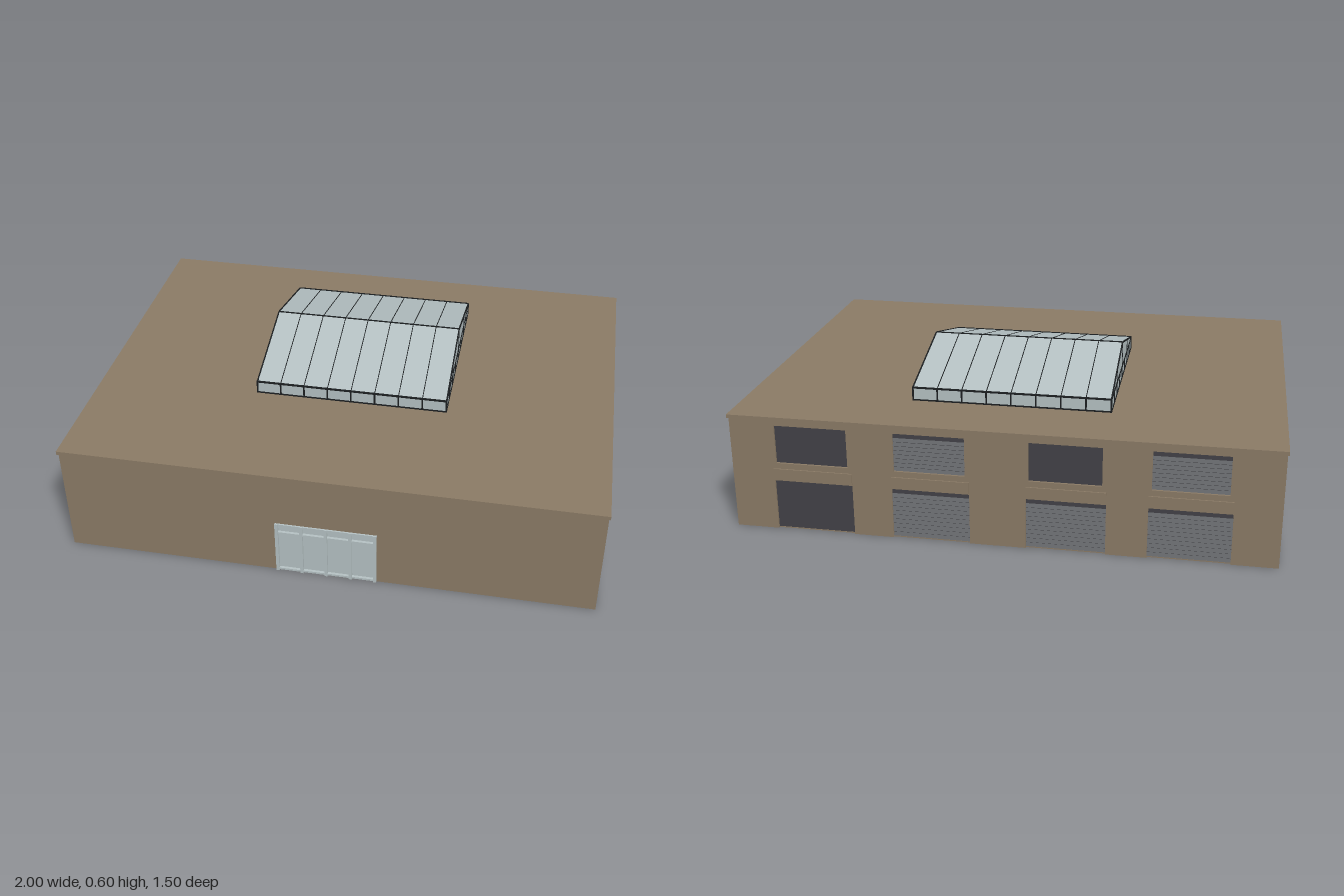
import * as THREE from 'three';

const flat = (name, color) => {
  const m = new THREE.MeshStandardMaterial({ color });
  m.name = name;
  return m;
};

export function createModel() {
  const brown = flat('brown cladding', 0x8a7a65);
  const glass = flat('pale glass', 0xb4c0c2);
  const dark = flat('dark glazing', 0x424147);
  const slatGrey = flat('shutter grey', 0x67696c);
  const black = flat('black frame', 0x1b1e20);

  const root = new THREE.Group();
  root.name = 'hall';

  // Box given by its limits on each axis
  const box = (parent, name, mat, x0, x1, y0, y1, z0, z1) => {
    const m = new THREE.Mesh(new THREE.BoxGeometry(x1 - x0, y1 - y0, z1 - z0), mat);
    m.position.set((x0 + x1) / 2, (y0 + y1) / 2, (z0 + z1) / 2);
    m.name = name;
    parent.add(m);
    return m;
  };

  const STOREY = 0.235, EAVES = 0.433, ROOF = 0.447;

  // Recessed opening: dark pane, optionally with a row of sloping slats
  function opening(parent, u0, u1, y0, y1, d, louvred) {
    box(parent, 'windowPane', dark, u0, u1, y0, y1, d - 0.025, d - 0.008);
    if (!louvred) return;
    const top = y1 - 0.018, n = Math.round((top - y0) / 0.0165), step = (top - y0) / n;
    for (let i = 0; i < n; i++) {
      const y = y0 + (i + 0.5) * step;
      const s = box(parent, 'shutterSlat', slatGrey, u0, u1, y - step * 0.42, y + step * 0.42, d - 0.009, d - 0.005);
      s.rotation.x = -0.35;
    }
  }

  // One wall: x runs along it, z points outward, d is its distance from the centre
  function wall(name, turn, d, half, bays) {
    const g = new THREE.Group();
    g.name = name;
    g.rotation.y = turn;
    root.add(g);
    const panel = (n, u0, u1, y0, y1) => box(g, n, brown, u0, u1, y0, y1, d - 0.03, d);
    let u = -half;
    for (const [u0, u1, lower, upper] of [...bays, [half, half]]) {
      panel('lowerPier', u, u0, 0, STOREY);
      panel('upperPier', u, u0, STOREY, EAVES);
      u = u1;
      if (u0 === u1) continue;
      // Lower opening with its slightly raised lintel, then the upper opening
      opening(g, u0, u1, 0.004, 0.195, d, lower);
      panel('lintel', u0, u1, 0.195, 0.265);
      box(g, 'lintelBand', brown, u0, u1, 0.2, 0.243, d, d + 0.005);
      const a = u0 + 0.01, b = u1 - 0.015;
      panel('upperJamb', u0, a, 0.265, 0.412);
      panel('upperJamb', b, u1, 0.265, 0.412);
      opening(g, a, b, 0.265, 0.412, d, upper);
      panel('windowHead', u0, u1, 0.412, EAVES);
    }
    return g;
  }

  wall('rightSideWall', Math.PI / 2, 0.995, 0.711, [[-0.395, -0.1, true, false], [0.22, 0.515, true, true]]);
  wall('leftSideWall', -Math.PI / 2, 0.995, 0.711, [[-0.515, -0.22, true, true], [0.1, 0.395, true, false]]);
  wall('backWall', Math.PI, 0.742, 0.995, [
    [-0.836, -0.541, false, false], [-0.393, -0.107, true, true],
    [0.098, 0.385, true, false], [0.533, 0.828, true, true]]);

  // Front wall with the entrance
  for (const s of [-1, 1]) {
    box(root, 'frontLowerWall', brown, Math.min(s * 0.19, s * 0.995), Math.max(s * 0.19, s * 0.995), 0, STOREY, 0.712, 0.742);
  }
  box(root, 'frontUpperWall', brown, -0.995, 0.995, STOREY, EAVES, 0.712, 0.742);
  box(root, 'entranceHead', brown, -0.19, 0.19, 0.225, STOREY, 0.712, 0.742);
  box(root, 'entranceGlass', glass, -0.19, 0.19, 0.002, 0.225, 0.715, 0.738);
  for (let i = 0; i <= 4; i++) {
    const x = -0.184 + i * 0.092;
    box(root, 'entrancePost', glass, x - 0.006, x + 0.006, 0, 0.225, 0.735, 0.75);
  }
  for (const y of [0.004, 0.18, 0.217]) {
    box(root, 'entranceRail', glass, -0.19, 0.19, y, y + 0.008, 0.735, 0.748);
  }

  box(root, 'floor', brown, -0.99, 0.99, 0, 0.004, -0.735, 0.735);

  // Roof slabs, jointed in line with the skylight
  const xs = [-1, -0.37, 0.37, 1], zs = [-0.75, -0.495, 0.245, 0.75];
  for (let i = 0; i < 3; i++) for (let j = 0; j < 3; j++) {
    if (i === 1 && j === 1) continue;
    box(root, 'roofSlab', brown, xs[i], xs[i + 1], EAVES, ROOF, zs[j], zs[j + 1]);
  }

  // Skylight: gabled glass block centred on its own group
  const sky = new THREE.Group();
  sky.name = 'skylight';
  sky.position.set(0, 0, -0.125);
  root.add(sky);
  const H = 0.37, WALL = 0.497, RIDGE = 0.595;
  const outline = new THREE.Shape([[-H, EAVES], [H, EAVES], [H, WALL], [0, RIDGE], [-H, WALL]]
    .map(([x, y]) => new THREE.Vector2(x, y)));
  const block = new THREE.Mesh(
    new THREE.ExtrudeGeometry(outline, { depth: 2 * H, bevelEnabled: false }).translate(0, 0, -H), glass);
  block.rotation.y = Math.PI / 2;
  block.name = 'skylightGlass';
  sky.add(block);

  // Bar stretched between two points
  const bar = (name, a, b, w) => {
    const p = new THREE.Vector3(...a), q = new THREE.Vector3(...b);
    const m = new THREE.Mesh(new THREE.BoxGeometry(w, w, p.distanceTo(q)), black);
    m.position.copy(p).add(q).multiplyScalar(0.5);
    m.lookAt(q);
    m.name = name;
    sky.add(m);
  };
  for (const s of [-1, 1]) {
    for (const y of [ROOF + 0.002, WALL]) {
      bar('skylightRail', [-H, y, s * H], [H, y, s * H], 0.006);
      bar('skylightRail', [s * H, y, -H], [s * H, y, H], 0.006);
    }
    for (let i = 0; i <= 8; i++) {
      const t = -H + i * H / 4;
      bar('skylightPost', [t, ROOF, s * H], [t, WALL, s * H], 0.006);
      bar('skylightPost', [s * H, ROOF, t], [s * H, WALL, t], 0.006);
      const edge = i % 8 === 0;
      bar('skylightRafter', [t, WALL, s * H], [t, RIDGE, 0], edge ? 0.005 : 0.003);
    }
    for (const t of [-H / 2, 0, H / 2]) {
      bar('gableMullion', [s * H, WALL, t], [s * H, RIDGE - Math.abs(t) / H * (RIDGE - WALL), t], 0.004);
    }
  }
  bar('skylightRidge', [-H, RIDGE, 0], [H, RIDGE, 0], 0.005);

  return root;
}
